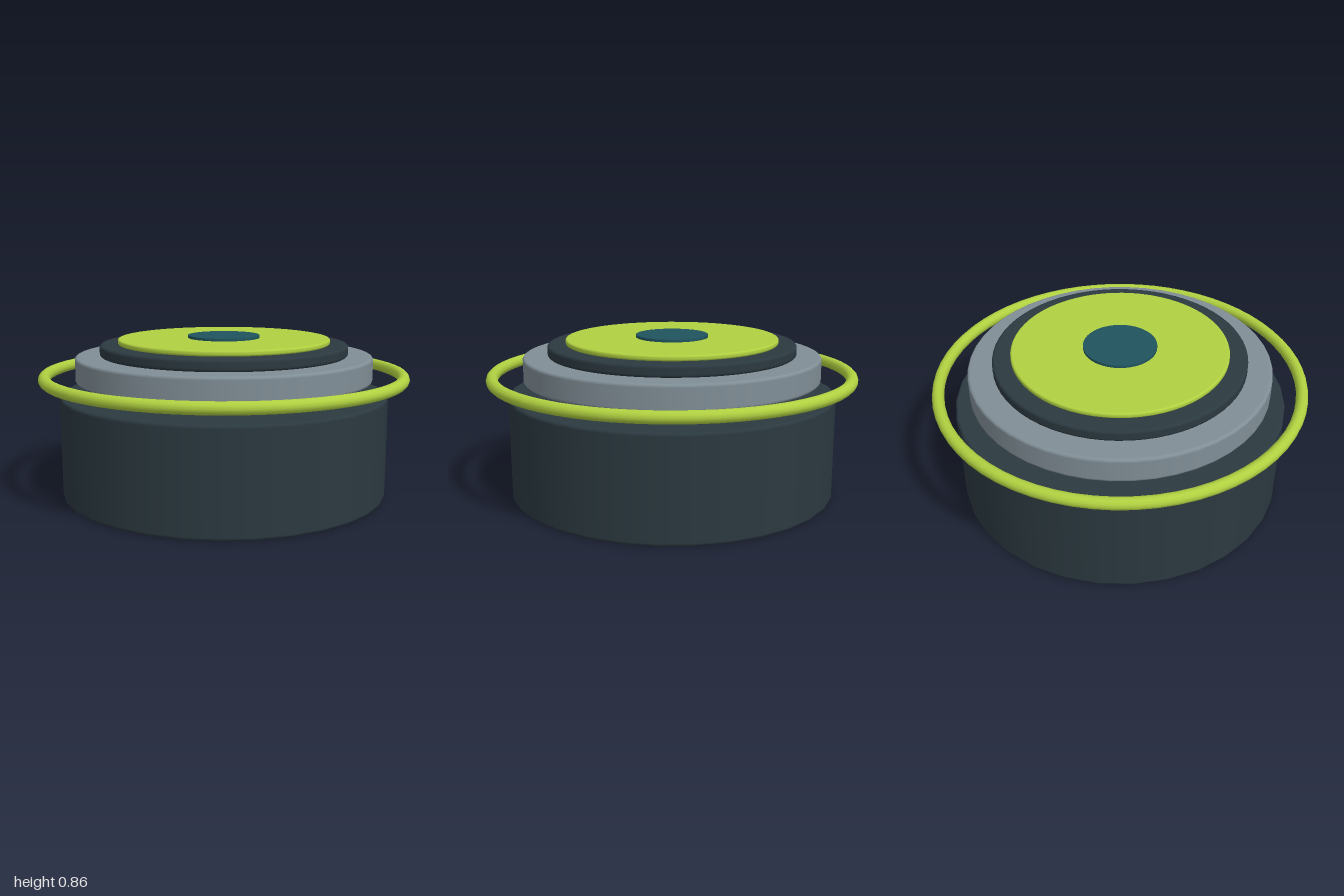
import * as THREE from 'three';

const flat = (name, color) => {
  const m = new THREE.MeshStandardMaterial({ color });
  m.name = name;
  return m;
};

// Solid disc with rounded rims; support loops keep the flat faces flat.
function roundedDisc(radius, bottom, top, bevel, segments) {
  const points = [new THREE.Vector2(0, bottom), new THREE.Vector2(radius - bevel - 0.002, bottom)];
  const arc = (cy, start) => {
    for (let i = 0; i <= 4; i++) {
      const a = start + (i / 4) * Math.PI / 2;
      points.push(new THREE.Vector2(radius - bevel + bevel * Math.cos(a), cy + bevel * Math.sin(a)));
    }
  };
  arc(bottom + bevel, -Math.PI / 2);
  points.push(new THREE.Vector2(radius, bottom + bevel + 0.002));
  points.push(new THREE.Vector2(radius, top - bevel - 0.002));
  arc(top - bevel, 0);
  points.push(new THREE.Vector2(radius - bevel - 0.002, top), new THREE.Vector2(0, top));
  return new THREE.LatheGeometry(points, segments);
}

export function createModel() {
  const group = new THREE.Group();
  const dark = flat('dark slate', 0x2b3940);
  const grey = flat('steel grey', 0x808e96);
  const lime = flat('lime green', 0xb0d040);
  const teal = flat('deep teal', 0x20545f);

  const add = (name, geometry, material) => {
    const mesh = new THREE.Mesh(geometry, material);
    mesh.name = name;
    group.add(mesh);
    return mesh;
  };

  // Stacked discs: name, radius, bottom, top, bevel, segments, material
  [
    ['body', 0.89, 0, 0.55, 0.014, 32, dark],
    ['greyCollar', 0.805, 0.622, 0.757, 0.014, 48, grey],
    ['darkPlate', 0.672, 0.757, 0.818, 0.014, 64, dark],
    ['limeFace', 0.575, 0.818, 0.847, 0.01, 64, lime],
  ].forEach(([name, r, bottom, top, bevel, seg, mat]) =>
    add(name, roundedDisc(r, bottom, top, bevel, seg), mat));

  // Centre button
  add('centreButton', new THREE.CylinderGeometry(0.195, 0.195, 0.02, 48), teal).position.y = 0.851;

  // Free-standing outer ring
  const ring = add('outerRing', new THREE.TorusGeometry(0.968, 0.032, 12, 64), lime);
  ring.rotation.x = Math.PI / 2;
  ring.position.y = 0.645;

  return group;
}
